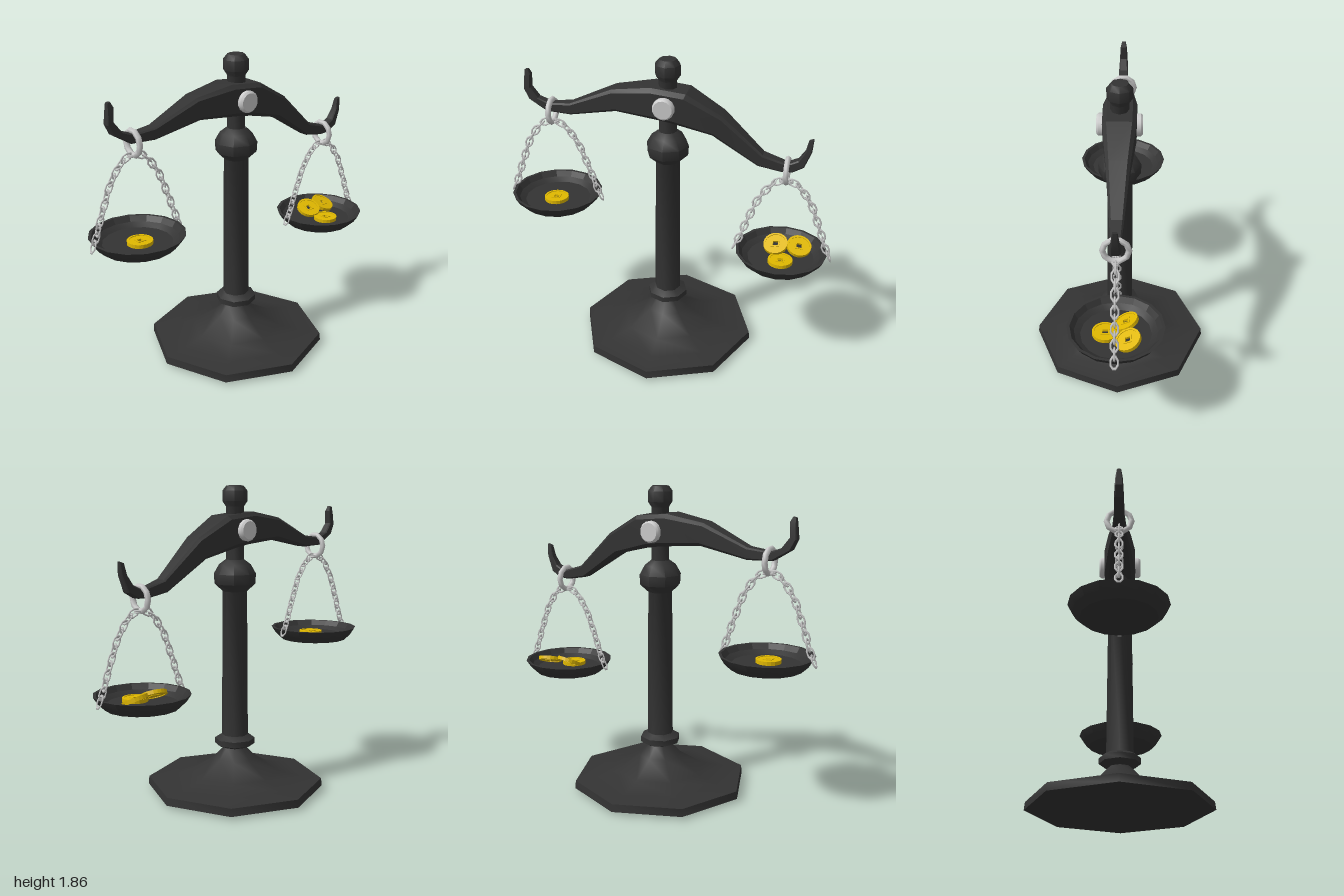
import * as THREE from 'three';
import { toCreasedNormals, mergeGeometries } from 'three/addons/utils/BufferGeometryUtils.js';

const iron = new THREE.MeshStandardMaterial({ color: 0x333333 });
const steel = new THREE.MeshStandardMaterial({ color: 0xcccccc });
const gold = new THREE.MeshStandardMaterial({ color: 0xe0b800 });

function part(name, geometry, material, parent) {
  const mesh = new THREE.Mesh(geometry, material);
  mesh.name = name;
  parent.add(mesh);
  return mesh;
}

// Turned part: [radius, height] pairs listed from the bottom upwards
function turned(profile, sides, crease) {
  const points = profile.map(([r, y]) => new THREE.Vector2(r, y));
  return toCreasedNormals(new THREE.LatheGeometry(points, sides), crease);
}

// Beam stations from the -x tip to the +x tip: top x, y, bottom x, y, half depth
const STATIONS = [
  [-0.835, 1.72, -0.855, 1.715, 0.012],
  [-0.82, 1.69, -0.86, 1.66, 0.02],
  [-0.825, 1.61, -0.865, 1.60, 0.024],
  [-0.78, 1.55, -0.835, 1.54, 0.028],
  [-0.71, 1.525, -0.73, 1.475, 0.03],
  [-0.58, 1.54, -0.58, 1.47, 0.04],
  [-0.315, 1.66, -0.295, 1.53, 0.068],
  [-0.085, 1.70, -0.04, 1.51, 0.097],
  [0.12, 1.68, 0.05, 1.495, 0.095],
  [0.325, 1.56, 0.27, 1.44, 0.068],
  [0.56, 1.34, 0.535, 1.27, 0.04],
  [0.69, 1.30, 0.67, 1.245, 0.03],
  [0.72, 1.305, 0.735, 1.25, 0.03],
  [0.76, 1.325, 0.795, 1.285, 0.028],
  [0.795, 1.38, 0.832, 1.38, 0.022],
  [0.81, 1.445, 0.838, 1.455, 0.013],
];

// Chamfered sections joined along the beam
function beamGeometry() {
  const positions = [], index = [], n = 8;
  for (const [tx, ty, bx, by, w] of STATIONS) {
    const h = Math.hypot(tx - bx, ty - by);
    const c = Math.min(0.25 * w, 0.3 * h);
    const ux = (tx - bx) / h * c, uy = (ty - by) / h * c;
    const half = [[tx, ty, w - c], [tx - ux, ty - uy, w], [bx + ux, by + uy, w], [bx, by, w - c]];
    half.forEach((p) => positions.push(...p));
    half.reverse().forEach(([x, y, z]) => positions.push(x, y, -z));
  }
  const last = (STATIONS.length - 1) * n;
  for (let a = 0; a < last; a += n) {
    for (let j = 0; j < n; j++) {
      const k = (j + 1) % n;
      index.push(a + j, a + k, a + n + k, a + j, a + n + k, a + n + j);
    }
  }
  for (let j = 1; j < n - 1; j++) {
    index.push(0, j + 1, j, last, last + j, last + j + 1);
  }
  const g = new THREE.BufferGeometry();
  g.setAttribute('position', new THREE.Float32BufferAttribute(positions, 3));
  g.setIndex(index);
  return toCreasedNormals(g, 0.35);
}

// Coin with a square hole and raised rims, lying flat
function coinGeometry() {
  const square = (s) => [[-s, -s], [-s, s], [s, s], [s, -s]].map(([x, y]) => new THREE.Vector2(x, y));
  const plate = (outer, hole, depth) => {
    const shape = outer;
    shape.holes.push(hole);
    return new THREE.ExtrudeGeometry(shape, { depth, bevelEnabled: false, curveSegments: 10 })
      .translate(0, 0, -depth / 2);
  };
  const disc = (r) => new THREE.Shape().absarc(0, 0, r, 0, Math.PI * 2);
  const body = plate(disc(0.07), new THREE.Path(square(0.016)), 0.014);
  const rim = plate(disc(0.074), new THREE.Path().absarc(0, 0, 0.062, 0, Math.PI * 2, true), 0.022);
  const frame = plate(new THREE.Shape(square(0.025)), new THREE.Path(square(0.016)), 0.022);
  return mergeGeometries([body, rim, frame]).rotateX(-Math.PI / 2);
}

// One side of the chain, measured from the ring centre
const CHAIN = new THREE.CatmullRomCurve3([
  [0, -0.068], [0.045, -0.075], [0.09, -0.11], [0.155, -0.205],
  [0.195, -0.305], [0.225, -0.385], [0.255, -0.475], [0.28, -0.53],
].map(([x, y]) => new THREE.Vector3(x, y, 0)));

function addChain(parent, side) {
  const chain = new THREE.Group();
  chain.name = 'chain';
  const link = new THREE.TorusGeometry(0.021, 0.0055, 4, 8, Math.PI * 2)
    .rotateZ(Math.PI / 8).scale(1, 1.7, 1);
  const count = 12;
  for (let i = 0; i <= count; i++) {
    const p = CHAIN.getPointAt(i / count), t = CHAIN.getTangentAt(i / count);
    const mesh = part('chainLink', link, steel, chain);
    mesh.position.set(side * p.x, p.y, 0);
    mesh.rotation.order = 'ZYX';
    mesh.rotation.z = Math.atan2(-side * t.x, t.y);
    mesh.rotation.y = i % 2 ? 0 : Math.PI / 2;
  }
  parent.add(chain);
}

// Ring, chains and pan hanging at one end of the beam
function addHanger(parent, name, x, y, coins) {
  const hanger = new THREE.Group();
  hanger.name = name;
  hanger.position.set(x, y, 0);
  const ring = new THREE.TorusGeometry(0.07, 0.017, 6, 10).rotateY(Math.PI / 2);
  part('hangingRing', ring, steel, hanger);
  [-1, 1].forEach((side) => addChain(hanger, side));

  const pan = turned([
    [0, -0.608], [0.21, -0.608], [0.25, -0.57], [0.275, -0.53],
    [0.258, -0.53], [0.235, -0.56], [0.2, -0.582], [0, -0.582],
  ], 16, 0.3);
  part('pan', pan, iron, hanger);

  const coin = coinGeometry();
  coins.forEach(([cx, cy, cz, tiltX, tiltZ]) => {
    const mesh = part('coin', coin, gold, hanger);
    mesh.position.set(cx, cy, cz);
    mesh.rotation.set(tiltX, 0, tiltZ);
  });
  parent.add(hanger);
}

export function createModel() {
  const model = new THREE.Group();
  model.name = 'balanceScale';

  // Eight-sided foot
  part('base', turned([
    [0, 0], [0.08, 0.002], [0.54, 0.018], [0.535, 0.065], [0.41, 0.076],
    [0.275, 0.112], [0.13, 0.2], [0.065, 0.268],
  ], 8, 0.8), iron, model);

  // Column with its lower collar and upper knob
  part('column', turned([
    [0.06, 0.262], [0.122, 0.288], [0.122, 0.322], [0.08, 0.346], [0.073, 1.23],
    [0.122, 1.275], [0.126, 1.335], [0.095, 1.39], [0.055, 1.42],
  ], 8, 0.8), iron, model);

  // Slim top shaft and finial
  part('finial', turned([
    [0.053, 1.41], [0.053, 1.73], [0.074, 1.762], [0.074, 1.822],
    [0.05, 1.852], [0, 1.855],
  ], 8, 0.8), iron, model);

  part('beam', beamGeometry(), iron, model);

  // Pivot bolt through the beam
  const bolt = turned([
    [0, -0.13], [0.054, -0.13], [0.064, -0.118], [0.064, 0.118], [0.054, 0.13], [0, 0.13],
  ], 14, 0.6).rotateX(Math.PI / 2);
  part('pivotBolt', bolt, steel, model).position.y = 1.595;

  addHanger(model, 'lightSide', -0.705, 1.47, [[0, -0.571, 0.025, 0, 0]]);
  addHanger(model, 'heavySide', 0.7, 1.245, [
    [0.005, -0.571, 0.06, 0, 0],
    [-0.04, -0.53, -0.055, 0.45, 0.1],
    [0.1, -0.535, -0.07, 0.4, -0.15],
  ]);
  return model;
}
